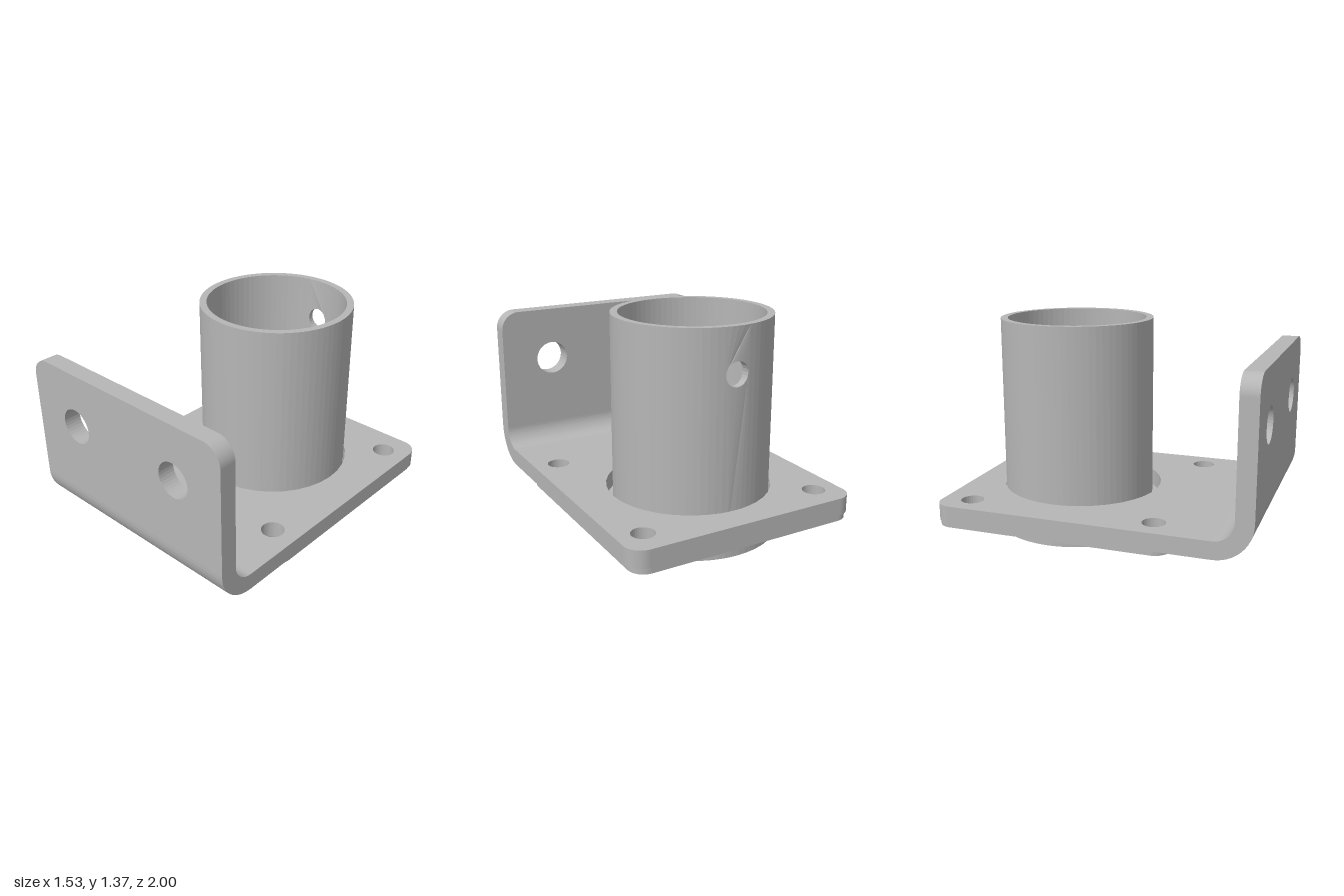
import * as THREE from 'three';

const steel = new THREE.MeshStandardMaterial({ color: 0xb6b6b6 });
steel.name = 'plain steel';

const TUBE_Z = -0.33, R_OUT = 0.49, R_IN = 0.445;

function circle(x, y, r) {
  const p = new THREE.Path();
  p.absarc(x, y, r, 0, Math.PI * 2, false);
  return p;
}

// Extrude a shape along z with faceted curves
function extrude(shape, depth, curveSegments = 18) {
  return new THREE.ExtrudeGeometry(shape, { depth, bevelEnabled: false, curveSegments });
}

// Horizontal slab: shape is drawn in (x, z) and fills y0..y1
function slab(shape, y0, y1, segments) {
  return extrude(shape, y1 - y0, segments).rotateX(Math.PI / 2).translate(0, y1, 0);
}

// Plate outline with rounded corners (radius rA at edge a, rB at edge b)
function plate(w, a, b, rA, rB) {
  const s = new THREE.Shape();
  s.moveTo(-w, a + rA);
  if (rA) s.absarc(-w + rA, a + rA, rA, Math.PI, Math.PI * 1.5, false);
  s.lineTo(w - rA, a);
  if (rA) s.absarc(w - rA, a + rA, rA, -Math.PI / 2, 0, false);
  s.lineTo(w, b - rB);
  if (rB) s.absarc(w - rB, b - rB, rB, 0, Math.PI / 2, false);
  s.lineTo(-w + rB, b);
  if (rB) s.absarc(-w + rB, b - rB, rB, Math.PI / 2, Math.PI, false);
  s.closePath();
  return s;
}

function addCornerHoles(shape, z0, z1, r) {
  for (const x of [-0.6, 0.6]) for (const z of [z0, z1]) shape.holes.push(circle(x, z, r));
}

// Round base with a tongue reaching forward to zEnd
function baseOutline(zEnd) {
  const r = 0.545, half = 0.27, a = Math.acos(half / r);
  const s = new THREE.Shape();
  s.moveTo(half, zEnd);
  s.absarc(0, TUBE_Z, r, a, Math.PI - a, true);
  s.lineTo(-half, zEnd);
  s.closePath();
  return s;
}

// Ring sector between two angles
function sector(z, rOut, rIn, a0, a1) {
  const s = new THREE.Shape();
  s.absarc(0, z, rOut, a0, a1, false);
  s.absarc(0, z, rIn, a1, a0, true);
  s.closePath();
  return s;
}

// Curved back panel of the tube with its pin hole, wrapped round the axis
function tubePanel(halfAngle, y0, y1, holeY, holeR) {
  const w = halfAngle * R_OUT;
  const s = new THREE.Shape();
  const steps = [-1, -0.5, 0, 0.5, 1];
  steps.forEach((t, i) => (i ? s.lineTo(t * w, y0) : s.moveTo(t * w, y0)));
  [...steps].reverse().forEach((t) => s.lineTo(t * w, y1));
  s.closePath();
  s.holes.push(circle(0, holeY, holeR));
  const g = extrude(s, R_OUT - R_IN, 12);
  const p = g.attributes.position;
  for (let i = 0; i < p.count; i++) {
    const a = p.getX(i) / R_OUT, r = R_IN + p.getZ(i);
    p.setXYZ(i, -Math.sin(a) * r, p.getY(i), TUBE_Z - Math.cos(a) * r);
  }
  g.computeVertexNormals();
  return g;
}

export function createModel() {
  const model = new THREE.Group();
  model.name = 'mountingBracket';
  const add = (name, geometry, parent = model) => {
    const m = new THREE.Mesh(geometry, steel);
    m.name = name;
    parent.add(m);
    return m;
  };

  // Bent bracket: flat plate, bend and upright flange
  const bracket = new THREE.Group();
  bracket.name = 'bracket';
  model.add(bracket);
  const W = 0.765, bendZ = 0.765, bendY = 0.39;
  const flat = plate(W, -1, bendZ, 0.11, 0);
  addCornerHoles(flat, -0.812, 0.381, 0.072);
  flat.holes.push(circle(0, -0.3, 0.52));
  add('basePlate', slab(flat, 0.155, 0.265), bracket);

  const flange = plate(W, bendY, 1.21, 0, 0.12);
  for (const x of [-0.41, 0.41]) flange.holes.push(circle(x, 0.86, 0.112));
  add('flange', extrude(flange, 0.11).translate(0, 0, 0.89), bracket);

  const bend = new THREE.Shape();
  bend.absarc(0, 0, 0.235, -Math.PI / 2, 0, false);
  bend.absarc(0, 0, 0.125, 0, -Math.PI / 2, true);
  bend.closePath();
  add('bend', extrude(bend, 2 * W, 6).rotateY(-Math.PI / 2).translate(W, bendY, bendZ), bracket);

  // Socket tube, with a pin hole in the back wall
  const tube = new THREE.Group();
  tube.name = 'tube';
  model.add(tube);
  const half = Math.PI / 18;
  const wall = sector(TUBE_Z, R_OUT, R_IN, -Math.PI / 2 + half, Math.PI * 1.5 - half);
  add('tubeWall', slab(wall, 0.155, 1.365, 34), tube);
  add('tubeBackPanel', tubePanel(half, 0.155, 1.365, 1.09, 0.075), tube);

  // Thin plate beneath, with a shallow recess in its front edge
  const under = new THREE.Shape();
  const w = 0.745, r = 0.1;
  under.moveTo(-w, -1 + r);
  under.absarc(-w + r, -1 + r, r, Math.PI, Math.PI * 1.5, false);
  under.absarc(w - r, -1 + r, r, -Math.PI / 2, 0, false);
  under.absarc(w - r, 0.5 - r, r, 0, Math.PI / 2, false);
  under.lineTo(0.29, 0.5);
  under.quadraticCurveTo(0.24, 0.5, 0.24, 0.42);
  under.lineTo(-0.24, 0.42);
  under.quadraticCurveTo(-0.24, 0.5, -0.29, 0.5);
  under.absarc(-w + r, 0.5 - r, r, Math.PI / 2, Math.PI, false);
  under.closePath();
  addCornerHoles(under, -0.85, 0.345, 0.06);
  under.holes.push(circle(0, TUBE_Z, R_IN));
  add('underPlate', slab(under, 0.12, 0.155), model);

  // Round bottom cover with a grooved tongue
  const cover = new THREE.Group();
  cover.name = 'bottomCover';
  model.add(cover);
  add('coverLower', slab(baseOutline(0.38), 0, 0.05, 32), cover);
  add('coverUpper', slab(baseOutline(0.22), 0.05, 0.07, 32), cover);
  add('tongueLip', new THREE.BoxGeometry(0.54, 0.02, 0.04).translate(0, 0.06, 0.36), cover);

  // Rim joining the cover to the plate round the back and one side
  const deg = Math.PI / 180;
  add('coverRim', slab(sector(TUBE_Z, 0.545, R_IN, -198 * deg, -24 * deg), 0.07, 0.12, 20), cover);

  // Small spacer posts along the open edge
  const posts = [[0.3, 0.145, 0.03], [0.38, 0.055, 0.03], [0.46, -0.1, 0.04]];
  for (const side of [-1, 1]) {
    for (const [x, z, d] of posts) {
      add('spacerPost', new THREE.BoxGeometry(0.06, 0.05, d).translate(side * x, 0.095, z), cover);
    }
  }
  for (const z of [-0.25, -0.36, -0.47]) {
    add('rimTooth', new THREE.BoxGeometry(0.05, 0.05, 0.05).translate(0.48, 0.095, z), cover);
  }

  return model;
}
